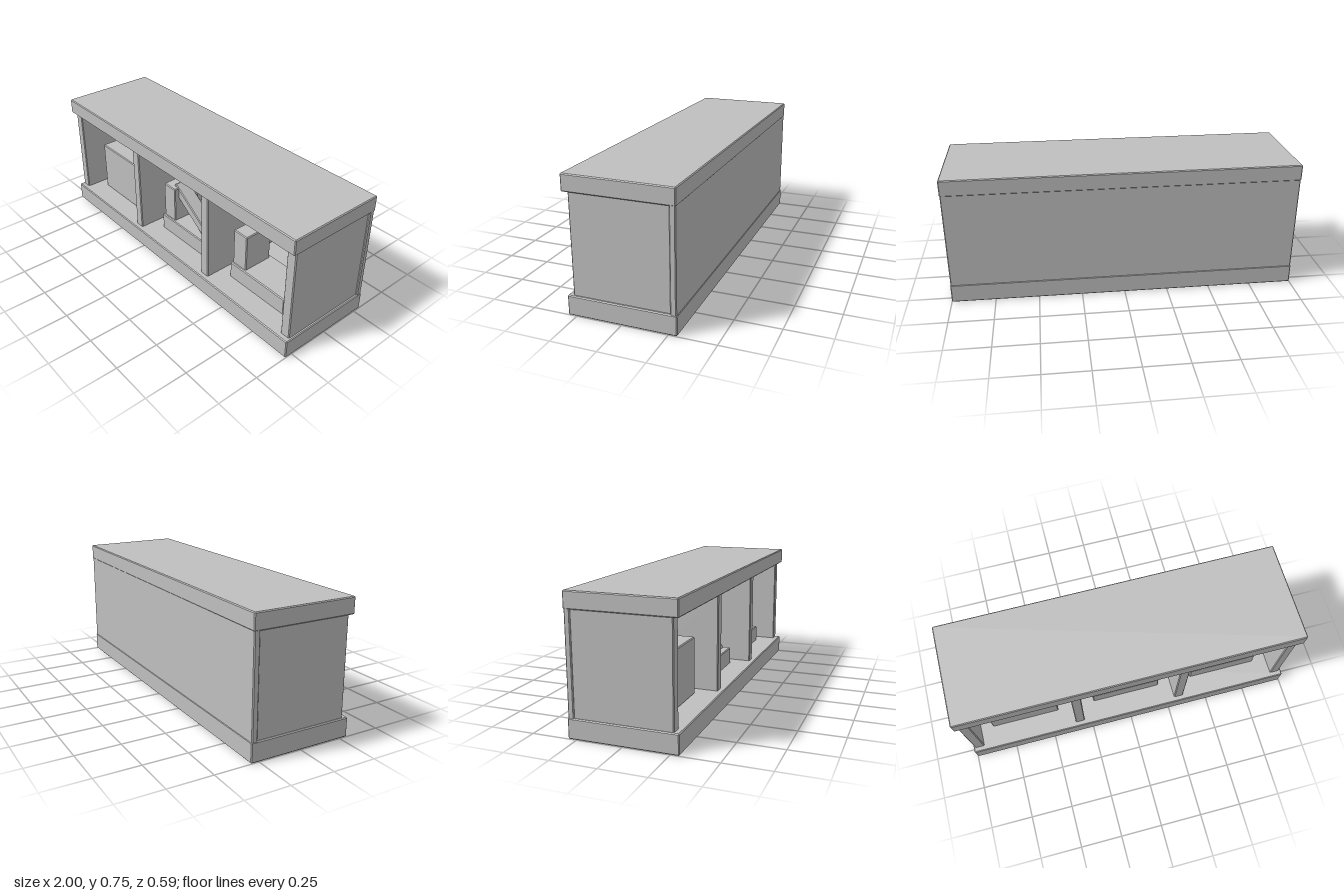
import * as THREE from 'three';
import { ConvexGeometry } from 'three/addons/geometries/ConvexGeometry.js';

const BEVEL = 0.005;

// Box with a single flat chamfer on every edge
function chamferedBox(w, h, d, b = BEVEL) {
  const half = [w / 2, h / 2, d / 2];
  const points = [];
  for (const sx of [-1, 1]) for (const sy of [-1, 1]) for (const sz of [-1, 1]) {
    for (let axis = 0; axis < 3; axis++) {
      const p = half.map((v, i) => (i === axis ? v : v - b));
      points.push(new THREE.Vector3(sx * p[0], sy * p[1], sz * p[2]));
    }
  }
  return new ConvexGeometry(points);
}

export function createModel() {
  const model = new THREE.Group();
  model.name = 'compartmentCabinet';
  const grey = new THREE.MeshStandardMaterial({ color: 0xbfbfbf });
  grey.name = 'plainGrey';

  // Adds a block from its limits on each axis
  function block(name, [x0, x1], [y0, y1], [z0, z1], parent = model) {
    const mesh = new THREE.Mesh(chamferedBox(x1 - x0, y1 - y0, z1 - z0), grey);
    mesh.position.set((x0 + x1) / 2, (y0 + y1) / 2, (z0 + z1) / 2);
    mesh.name = name;
    parent.add(mesh);
    return mesh;
  }

  // Shell: plinth, roof slab and back panel
  block('base', [-1, 1], [0, 0.11], [-0.296, 0.297]);
  block('topSlab', [-1, 1], [0.658, 0.75], [-0.296, 0.297]);
  block('backPanel', [-0.998, 0.998], [0.1, 0.67], [-0.293, -0.26]);

  // Two end walls and two dividers make three bays
  [-0.962, -0.323, 0.317, 0.958].forEach((x, i) => {
    const name = i === 0 || i === 3 ? 'endWall' : 'divider';
    block(name, [x - 0.029, x + 0.029], [0.1, 0.67], [-0.265, 0.268]);
  });

  // Plain block in the first bay
  block('storageBlock', [-0.857, -0.44], [0.112, 0.432], [-0.16, 0.165]);

  // Low bench with an upright post, in the other two bays
  for (const x of [0, 0.633]) {
    const unit = new THREE.Group();
    unit.name = 'benchUnit';
    unit.position.x = x;
    model.add(unit);
    block('bench', [-0.212, 0.21], [0.105, 0.21], [-0.055, 0.163], unit);
    block('post', [-0.204, -0.1], [0.2, 0.432], [-0.035, 0.15], unit);
  }

  // Sloping brace leaning from the post down to the bench
  const brace = new THREE.Mesh(chamferedBox(0.41, 0.057, 0.09), grey);
  brace.name = 'slopingBrace';
  brace.position.set(0.021, 0.308, 0.075);
  brace.rotation.z = -0.615;
  model.add(brace);

  return model;
}
